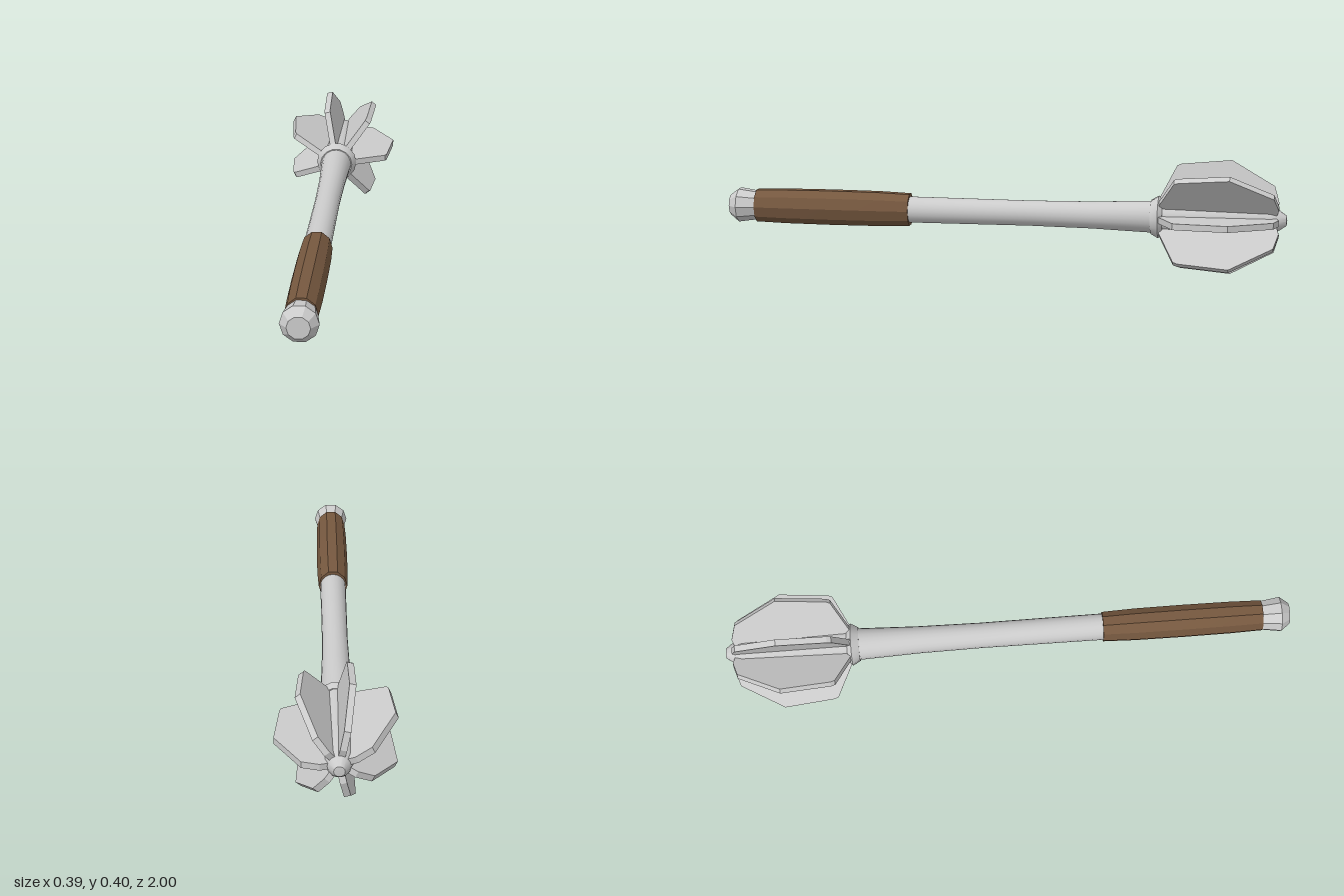
import * as THREE from 'three';
import { toCreasedNormals } from 'three/addons/utils/BufferGeometryUtils.js';

const AXIS_X = -0.01, AXIS_Y = 0.202;

// Revolves [radius, z] points (listed from back to front) around the z axis
function turned(name, points, sides, color, crease) {
  const profile = points.map(([r, z]) => new THREE.Vector2(r, z));
  let geometry = new THREE.LatheGeometry(profile, sides);
  geometry.rotateX(Math.PI / 2);
  geometry.rotateZ(Math.PI / 2);
  geometry = toCreasedNormals(geometry, crease);
  const mesh = new THREE.Mesh(geometry, new THREE.MeshStandardMaterial({ color }));
  mesh.name = name;
  return mesh;
}

export function createModel() {
  const model = new THREE.Group();
  model.name = 'flangedMace';
  const mace = new THREE.Group();
  mace.name = 'mace';
  mace.position.set(AXIS_X, AXIS_Y, 0);
  model.add(mace);
  const steel = 0xcccccc;

  // Long shaft, widening towards the head
  mace.add(turned('shaft', [
    [0, -0.53], [0.056, -0.53], [0.048, -0.32], [0.045, -0.1], [0.047, 0.36], [0, 0.36],
  ], 20, steel, 0.6));

  // Flared collar below the flanges
  mace.add(turned('collar', [
    [0, -0.57], [0.06, -0.57], [0.075, -0.555], [0.06, -0.528], [0, -0.528],
  ], 14, steel, 0.5));

  // Head core ending in a blunt point
  mace.add(turned('headCore', [
    [0, -1], [0.018, -0.998], [0.034, -0.975], [0.046, -0.94], [0.05, -0.8], [0.057, -0.56], [0, -0.56],
  ], 14, steel, 0.6));

  // Faceted leather grip, slightly swollen in the middle
  const grip = turned('grip', [
    [0, 0.335], [0.053, 0.335], [0.057, 0.45], [0.058, 0.62], [0.057, 0.79], [0.054, 0.902], [0, 0.902],
  ], 10, 0x76583f, 0.3);
  grip.scale.y = 1.12;
  mace.add(grip);

  // Faceted pommel
  mace.add(turned('pommel', [
    [0, 0.895], [0.052, 0.895], [0.063, 0.968], [0.038, 1], [0, 1],
  ], 10, steel, 0.3));

  // Seven flanges around the head: outline as (radius, -z)
  const thickness = 0.022;
  const outline = [
    [0.02, 0.57], [0.062, 0.555], [0.182, 0.615], [0.188, 0.63],
    [0.205, 0.805], [0.118, 0.955], [0.06, 0.972], [0.02, 0.96],
  ];
  const shape = new THREE.Shape(outline.map(([r, d]) => new THREE.Vector2(r, d)));
  const flangeGeometry = new THREE.ExtrudeGeometry(shape, { depth: thickness, bevelEnabled: false });
  flangeGeometry.translate(0, 0, -thickness / 2);
  flangeGeometry.rotateX(-Math.PI / 2);
  const flangeMaterial = new THREE.MeshStandardMaterial({ color: steel });
  for (let i = 0; i < 7; i++) {
    const flange = new THREE.Mesh(flangeGeometry, flangeMaterial);
    flange.name = `flange${i + 1}`;
    flange.rotation.z = (i / 7) * Math.PI * 2;
    mace.add(flange);
  }

  return model;
}
